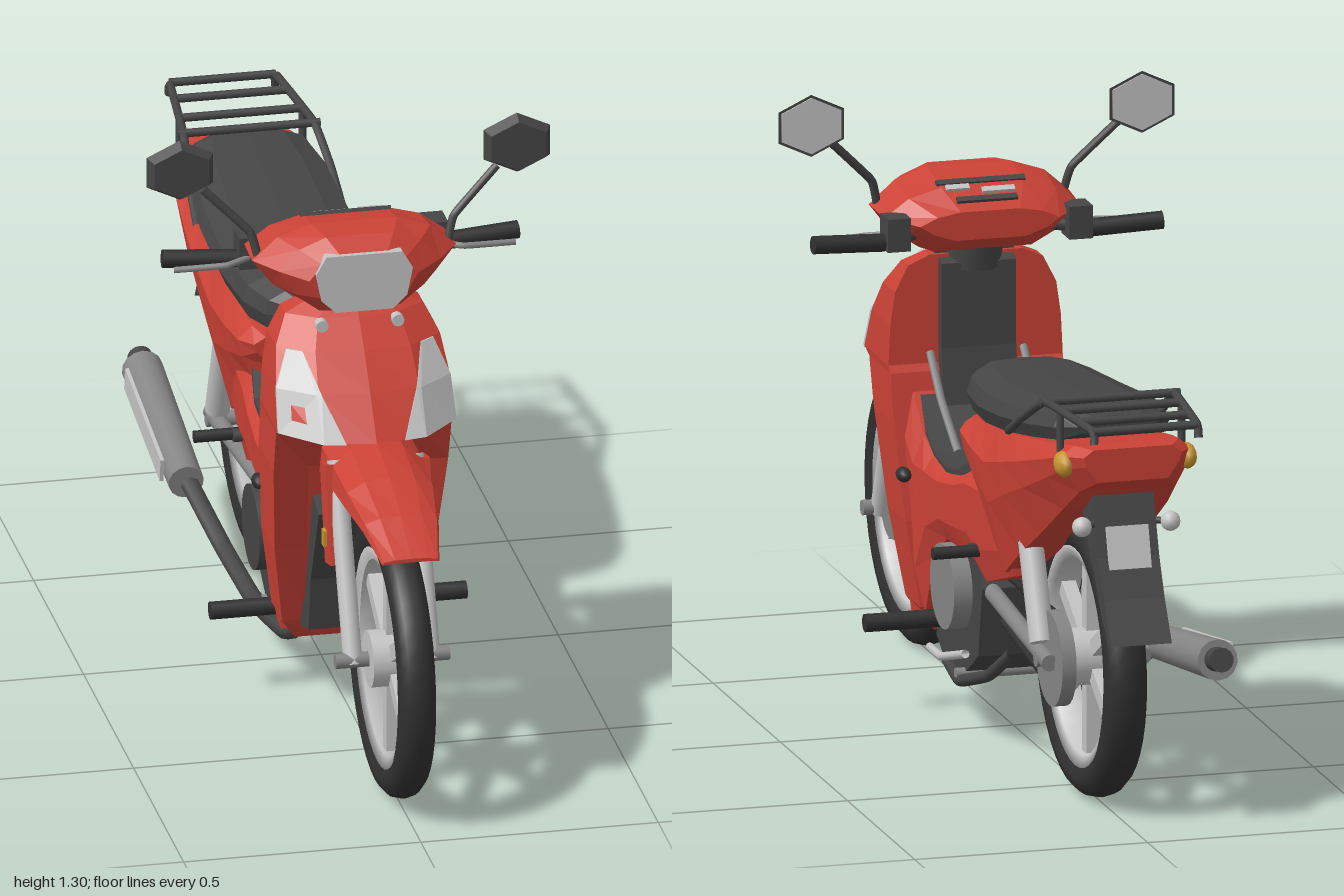
import * as THREE from 'three';

const mat = (name, color, side = THREE.FrontSide) => {
  const m = new THREE.MeshStandardMaterial({ color, side });
  m.name = name;
  return m;
};

export function createModel() {
  const root = new THREE.Group();
  root.name = 'motorcycle';
  const red = mat('red paint', 0xcb4236, THREE.DoubleSide);
  const dark = mat('dark plastic', 0x454545);
  const black = mat('black rubber', 0x303030);
  const steel = mat('grey steel', 0x858585);
  const silver = mat('silver', 0xc4c4c4, THREE.DoubleSide);
  const amber = mat('amber', 0xc8962f);

  const add = (name, geo, m, pos = [0, 0, 0], parent = root) => {
    const mesh = new THREE.Mesh(geo, m);
    mesh.name = name;
    mesh.position.set(...pos);
    parent.add(mesh);
    return mesh;
  };
  const box = (name, size, m, pos, parent) => add(name, new THREE.BoxGeometry(...size), m, pos, parent);
  const V = p => new THREE.Vector3(...p);
  const tube = (name, pts, r, m, parent) => add(name, new THREE.TubeGeometry(
    new THREE.CatmullRomCurve3(pts.map(V), false, 'catmullrom', 0.15), pts.length * 6, r, 8), m, [0, 0, 0], parent);
  // Capped cylinder between two points
  const rod = (name, a, b, r, m, parent, r2 = r, sides = 14) => {
    const d = V(b).sub(V(a));
    const mesh = add(name, new THREE.CylinderGeometry(r2, r, d.length(), sides), m,
      V(a).addScaledVector(d, 0.5).toArray(), parent);
    mesh.quaternion.setFromUnitVectors(new THREE.Vector3(0, 1, 0), d.normalize());
    return mesh;
  };
  const pair = fn => [1, -1].forEach(fn);

  // Faceted solid through matching rings, capped at both ends
  const loft = (name, rings, m) => {
    const tris = [], n = rings[0].length;
    for (let i = 0; i < rings.length - 1; i++) for (let j = 0; j < n; j++) {
      const k = (j + 1) % n, a = rings[i][j], b = rings[i][k], c = rings[i + 1][k], d = rings[i + 1][j];
      tris.push([a, b, c], [a, c, d]);
    }
    const cap = (r, flip) => {
      const c = [0, 1, 2].map(q => r.reduce((s, p) => s + p[q], 0) / n);
      r.forEach((p, j) => tris.push(flip ? [c, r[(j + 1) % n], p] : [c, p, r[(j + 1) % n]]));
    };
    cap(rings[0], true);
    cap(rings[rings.length - 1], false);
    const volume = tris.reduce((s, [a, b, c]) => s + V(a).dot(V(b).cross(V(c))), 0);
    if (volume < 0) tris.forEach(t => t.reverse());
    const g = new THREE.BufferGeometry();
    g.setAttribute('position', new THREE.Float32BufferAttribute(tris.flat(2), 3));
    g.computeVertexNormals();
    return add(name, g, m);
  };
  // Symmetric cross-section at z from half-width w, bottom, top and a half profile of fractions
  const section = (z, w, yb, yt, half) => {
    const r = half.map(([x, y]) => [x * w, yb + y * (yt - yb), z]);
    return [...r, ...r.slice().reverse().map(([x, y]) => [-x, y, z])];
  };
  const hull = (name, rows, half, m) => loft(name, rows.map(([z, w, b, t]) => section(z, w, b, t, half)), m);
  // Side profile in (z, y) extruded across x
  const slab = (name, pts, width, m, x = 0) => {
    const g = new THREE.ExtrudeGeometry(new THREE.Shape(pts.map(p => new THREE.Vector2(...p))),
      { depth: width, bevelEnabled: false });
    g.translate(0, 0, -width / 2).rotateY(-Math.PI / 2);
    return add(name, g, m, [x, 0, 0]);
  };

  // Wheels
  const wheel = (name, z, halfWidth) => {
    const g = new THREE.Group();
    g.name = name;
    g.position.set(0, 0.3, z);
    root.add(g);
    const w = halfWidth;
    const lathe = (part, pts, m) => add(part, new THREE.LatheGeometry(
      pts.map(p => new THREE.Vector2(...p)), 40).rotateZ(-Math.PI / 2), m, [0, 0, 0], g);
    lathe('tyre', [[0.225, -w * 0.7], [0.25, -w], [0.272, -w * 0.9], [0.288, -w * 0.55], [0.294, 0],
      [0.288, w * 0.55], [0.272, w * 0.9], [0.25, w], [0.225, w * 0.7]], black);
    lathe('rim', [[0.205, -w * 0.6], [0.235, -w * 0.8], [0.235, w * 0.8], [0.205, w * 0.6], [0.205, -w * 0.6]], silver);
    add('hub', new THREE.CylinderGeometry(0.06, 0.06, 0.1, 20).rotateZ(Math.PI / 2), silver, [0, 0, 0], g);
    rod('axle', [-0.12, 0, 0], [0.12, 0, 0], 0.016, steel, g);
    for (let i = 0; i < 6; i++) {
      const a = i * Math.PI / 3;
      const s = box('spoke', [0.03, 0.17, 0.034], silver, [0, 0.135 * Math.cos(a), 0.135 * Math.sin(a)], g);
      s.rotation.x = a;
    }
    return g;
  };
  const front = wheel('frontWheel', 0.71, 0.04);
  add('brakeDrum', new THREE.CylinderGeometry(0.07, 0.07, 0.03, 20).rotateZ(Math.PI / 2), steel, [0.045, 0, 0], front);
  const rear = wheel('rearWheel', -0.58, 0.046);
  add('sprocketCover', new THREE.CylinderGeometry(0.1, 0.1, 0.03, 24).rotateZ(Math.PI / 2), steel, [0.075, 0, 0], rear);

  // Front fender and fork
  const arch = [[0, 1], [0.55, 0.9], [0.95, 0.55], [1, 0], [0.6, 0.15]];
  hull('frontFender', [[0.46, 0.1, 0.62, 0.72], [0.56, 0.1, 0.63, 0.715], [0.69, 0.095, 0.635, 0.695],
    [0.8, 0.08, 0.625, 0.655], [0.9, 0.06, 0.59, 0.6]], arch, red);
  pair(s => {
    rod('forkLeg', [s * 0.082, 0.29, 0.71], [s * 0.082, 0.68, 0.545], 0.02, silver);
    const cover = box('forkCover', [0.04, 0.21, 0.06], red, [s * 0.09, 0.57, 0.565]);
    cover.rotation.x = -0.25;
    box('forkReflector', [0.008, 0.035, 0.02], amber, [s * 0.113, 0.52, 0.572]);
  });

  // Leg shield: rows of y, half-width, rear z, side z, front z
  const shieldRows = [[0.945, 0.1, 0.28, 0.32, 0.355], [0.925, 0.145, 0.28, 0.33, 0.38], [0.87, 0.173, 0.28, 0.37, 0.435],
    [0.8, 0.183, 0.28, 0.42, 0.495], [0.715, 0.187, 0.28, 0.46, 0.56], [0.7, 0.185, 0.27, 0.43, 0.45],
    [0.6, 0.184, 0.25, 0.4, 0.38], [0.4, 0.17, 0.21, 0.345, 0.33], [0.22, 0.145, 0.19, 0.3, 0.29], [0.165, 0.11, 0.21, 0.26, 0.26]];
  const shieldRing = ([y, w, zb, zs, zf]) => {
    const h = [[0, zf], [w * 0.58, zs + (zf - zs) * 0.8], [w, zs], [w, zb]];
    return [...h.map(([x, z]) => [x, y, z]), ...h.reverse().map(([x, z]) => [-x, y, z])];
  };
  loft('legShield', shieldRows.map(shieldRing), red);
  // Front indicator lenses lying on the shield, each spanning corner to inner x
  pair(s => {
    const rows = [[2, 0.125, 0.155], [3, 0.1, 0.184], [4, 0.062, 0.188]].map(([i, x0, x1]) => {
      const [y, w, , zs, zf] = shieldRows[i], xm = w * 0.58, zm = zs + (zf - zs) * 0.8;
      const zAt = x => (x < xm ? zf + (zm - zf) * x / xm : zm + (zs - zm) * (x - xm) / (w - xm));
      return [x0, Math.max(x0 + 0.01, xm), x1].map(x => [s * x, y, zAt(x) + 0.006]);
    });
    const strip = rows.map(r => [...r, ...r.slice().reverse().map(([x, y, z]) => [x, y - 0.001, z - 0.008])]);
    loft('frontIndicator', strip, silver);
    add('shieldScrew', new THREE.CylinderGeometry(0.013, 0.013, 0.02, 12).rotateX(Math.PI / 2), silver, [s * 0.08, 0.915, 0.385]);
    tube('kneeBar', [[s * 0.1, 0.74, 0.27], [s * 0.1, 0.66, 0.19], [s * 0.09, 0.57, 0.1]], 0.009, steel);
  });
  box('shieldTopTrim', [0.17, 0.012, 0.06], dark, [0, 0.945, 0.32]);
  slab('innerPanel', [[0.285, 0.94], [0.255, 0.93], [0.255, 0.75], [0.235, 0.63], [0.285, 0.63]], 0.16, dark);
  slab('splashGuard', [[0.5, 0.54], [0.44, 0.56], [0.36, 0.3], [0.31, 0.22], [0.33, 0.22], [0.4, 0.24], [0.42, 0.36]], 0.22, dark);
  rod('steeringNeck', [0, 0.92, 0.3], [0, 1, 0.29], 0.06, dark);

  // Centre body with step-through mat
  const belly = [[0.85, 1], [1, 0.85], [0.98, 0.3], [0.85, 0]];
  hull('centreBody', [[0.27, 0.165, 0.19, 0.67], [0.2, 0.158, 0.18, 0.585], [0.14, 0.153, 0.34, 0.555], [0.05, 0.15, 0.4, 0.545],
    [-0.05, 0.145, 0.4, 0.565], [-0.12, 0.14, 0.4, 0.59], [-0.2, 0.135, 0.37, 0.6], [-0.36, 0.12, 0.42, 0.6]], belly, red);
  hull('floorMat', [[0.255, 0.125, 0.6, 0.655], [0.2, 0.13, 0.57, 0.592], [0.14, 0.13, 0.545, 0.562], [0.05, 0.13, 0.54, 0.552],
    [-0.05, 0.13, 0.56, 0.572], [-0.12, 0.12, 0.58, 0.62]], [[1, 1], [1, 0]], dark);
  pair(s => {
    add('bodyKnob', new THREE.SphereGeometry(0.026, 12, 8).scale(0.6, 0.6, 1), black, [s * 0.175, 0.5, 0.21]);
    add('bodyPlug', new THREE.CylinderGeometry(0.014, 0.014, 0.02, 10).rotateZ(Math.PI / 2), dark, [s * 0.138, 0.435, -0.18]);
  });

  // Tail body and seat
  hull('tailBody', [[-0.075, 0.125, 0.63, 0.695], [-0.12, 0.15, 0.57, 0.705], [-0.22, 0.158, 0.5, 0.715], [-0.34, 0.162, 0.425, 0.73],
    [-0.46, 0.165, 0.495, 0.75], [-0.6, 0.163, 0.57, 0.775], [-0.76, 0.155, 0.665, 0.805], [-0.84, 0.14, 0.72, 0.82],
    [-0.89, 0.105, 0.75, 0.82]], [[0.8, 1], [1, 0.78], [0.95, 0.5], [0.72, 0]], red);
  hull('seat', [[-0.03, 0.05, 0.735, 0.785], [-0.06, 0.105, 0.72, 0.805], [-0.13, 0.138, 0.72, 0.815], [-0.28, 0.157, 0.732, 0.82],
    [-0.45, 0.16, 0.755, 0.838], [-0.62, 0.15, 0.785, 0.858], [-0.73, 0.125, 0.805, 0.872], [-0.77, 0.085, 0.825, 0.86]],
  [[0, 1], [0.6, 0.96], [0.92, 0.75], [1, 0.4], [0.9, 0]], dark);

  // Rear rack
  pair(s => tube('rackRail', [[s * 0.155, 0.77, -0.5], [s * 0.15, 0.83, -0.61], [s * 0.138, 0.885, -0.72],
    [s * 0.112, 0.885, -0.98], [s * 0.112, 0.858, -0.99]], 0.009, dark));
  [[-0.72, 0.15], [-0.8, 0.13], [-0.9, 0.12], [-0.985, 0.112]].forEach(([z, x]) =>
    rod('rackCrossbar', [-x, 0.885, z], [x, 0.885, z], 0.009, dark));
  pair(s => rod('rackStrut', [s * 0.13, 0.8, -0.8], [s * 0.13, 0.885, -0.8], 0.008, dark));

  // Rear mudguard, plate and lights
  slab('rearMudguard', [[-0.72, 0.68], [-0.81, 0.72], [-0.86, 0.58], [-0.9, 0.5], [-0.955, 0.415], [-0.89, 0.45], [-0.82, 0.55]], 0.13, dark);
  const plate = box('plateHolder', [0.09, 0.09, 0.008], silver, [0, 0.6, -0.858]);
  plate.rotation.x = 0.3;
  pair(s => {
    rod('reflectorStem', [s * 0.05, 0.645, -0.82], [s * 0.09, 0.645, -0.835], 0.007, dark);
    add('reflector', new THREE.SphereGeometry(0.021, 12, 8), silver, [s * 0.095, 0.645, -0.84]);
    add('rearIndicator', new THREE.SphereGeometry(0.034, 10, 8).scale(0.6, 0.8, 1), amber, [s * 0.132, 0.78, -0.832]);
  });

  // Headlight cowl, lens and gauges
  hull('headlightCowl', [[0.17, 0.15, 1.0, 1.06], [0.23, 0.21, 0.965, 1.1], [0.33, 0.215, 0.95, 1.12], [0.39, 0.17, 0.95, 1.113],
    [0.43, 0.115, 0.965, 1.085]], [[0.42, 1], [0.75, 0.86], [1, 0.58], [0.8, 0.25], [0.5, 0]], red);
  const lens = new THREE.Shape([[-0.06, 0.962], [0.06, 0.962], [0.09, 0.99], [0.102, 1.05], [0.08, 1.088], [-0.08, 1.088],
    [-0.102, 1.05], [-0.09, 0.99]].map(p => new THREE.Vector2(...p)));
  add('headlightLens', new THREE.ExtrudeGeometry(lens, { depth: 0.022, bevelEnabled: false }), silver, [0, 0, 0.415]);
  [[0, 0.245, 0.19, dark], [-0.03, 0.215, 0.07, silver], [0.055, 0.225, 0.05, silver], [0, 0.195, 0.13, dark]].forEach(([x, z, w, m]) => {
    box('gauge', [w, 0.008, 0.014], m, [x, 1.105 - Math.max(0, 0.235 - z) * 0.64, z]).rotation.x = -0.5;
  });

  // Handlebar controls and mirrors
  pair(s => {
    rod('handlebar', [s * 0.15, 1.01, 0.22], [s * 0.23, 1.0, 0.2], 0.014, dark);
    rod('grip', [s * 0.22, 1.0, 0.2], [s * 0.375, 1.008, 0.19], 0.019, black);
    box('switchBox', [0.05, 0.07, 0.06], dark, [s * 0.195, 1.02, 0.2]);
    tube('lever', [[s * 0.2, 1.01, 0.225], [s * 0.25, 1.005, 0.245], [s * 0.36, 1.0, 0.235]], 0.007, steel);
    tube('mirrorStalk', [[s * 0.2, 1.05, 0.32], [s * 0.215, 1.105, 0.31], [s * 0.31, 1.2, 0.29]], 0.009, dark);
    const geo = new THREE.CylinderGeometry(0.062, 0.075, 0.025, 6).rotateX(Math.PI / 2).toNonIndexed();
    geo.computeVertexNormals();
    add('mirror', geo, dark, [s * 0.355, 1.24, 0.285]).scale.set(1.08, 0.88, 1);
    add('mirrorGlass', new THREE.CylinderGeometry(0.068, 0.068, 0.004, 6).rotateX(Math.PI / 2), silver,
      [s * 0.355, 1.24, 0.271]).scale.set(1.08, 0.88, 1);
  });

  // Engine and pegs
  slab('engine', [[0.19, 0.16], [0.14, 0.13], [-0.02, 0.13], [-0.12, 0.19], [-0.15, 0.34], [-0.1, 0.44], [0.12, 0.44]], 0.22, dark);
  pair(s => {
    add('engineCover', new THREE.CylinderGeometry(0.09, 0.09, 0.05, 24).rotateZ(Math.PI / 2), s > 0 ? steel : dark, [s * 0.125, 0.31, 0.01]);
    rod('footPeg', [s * 0.1, 0.2, 0.17], [s * 0.27, 0.2, 0.17], 0.019, black);
    rod('passengerPeg', [s * 0.12, 0.435, -0.19], [s * 0.228, 0.435, -0.19], 0.013, black);
    rod('swingArm', [s * 0.085, 0.335, -0.1], [s * 0.1, 0.3, -0.62], 0.018, steel);
    rod('shockBody', [s * 0.1, 0.33, -0.56], [s * 0.1, 0.56, -0.46], 0.026, silver);
  });
  rod('standBar', [-0.12, 0.13, -0.02], [0.13, 0.13, -0.02], 0.012, steel);
  tube('gearLever', [[0.13, 0.14, 0.17], [0.14, 0.15, 0.05], [0.14, 0.2, -0.13]], 0.009, silver);
  tube('sideStand', [[0.11, 0.13, 0.12], [0.12, 0.115, -0.02], [0.11, 0.17, -0.2], [0.1, 0.25, -0.34]], 0.013, dark);
  tube('chainUpper', [[0.06, 0.37, -0.1], [0.06, 0.38, -0.55]], 0.008, black);
  tube('chainLower', [[0.06, 0.27, -0.1], [0.06, 0.21, -0.55]], 0.008, black);

  // Exhaust
  tube('exhaustPipe', [[-0.05, 0.2, 0.2], [-0.1, 0.13, 0.15], [-0.13, 0.12, -0.05], [-0.16, 0.17, -0.22], [-0.2, 0.255, -0.37]], 0.02, dark);
  rod('muffler', [-0.208, 0.26, -0.36], [-0.208, 0.33, -0.8], 0.037, steel, root, 0.043);
  rod('mufflerTip', [-0.205, 0.33, -0.79], [-0.205, 0.34, -0.84], 0.026, dark);
  const shield = box('heatShield', [0.008, 0.05, 0.36], silver, [-0.25, 0.3, -0.58]);
  shield.rotation.x = 0.16;
  return root;
}
